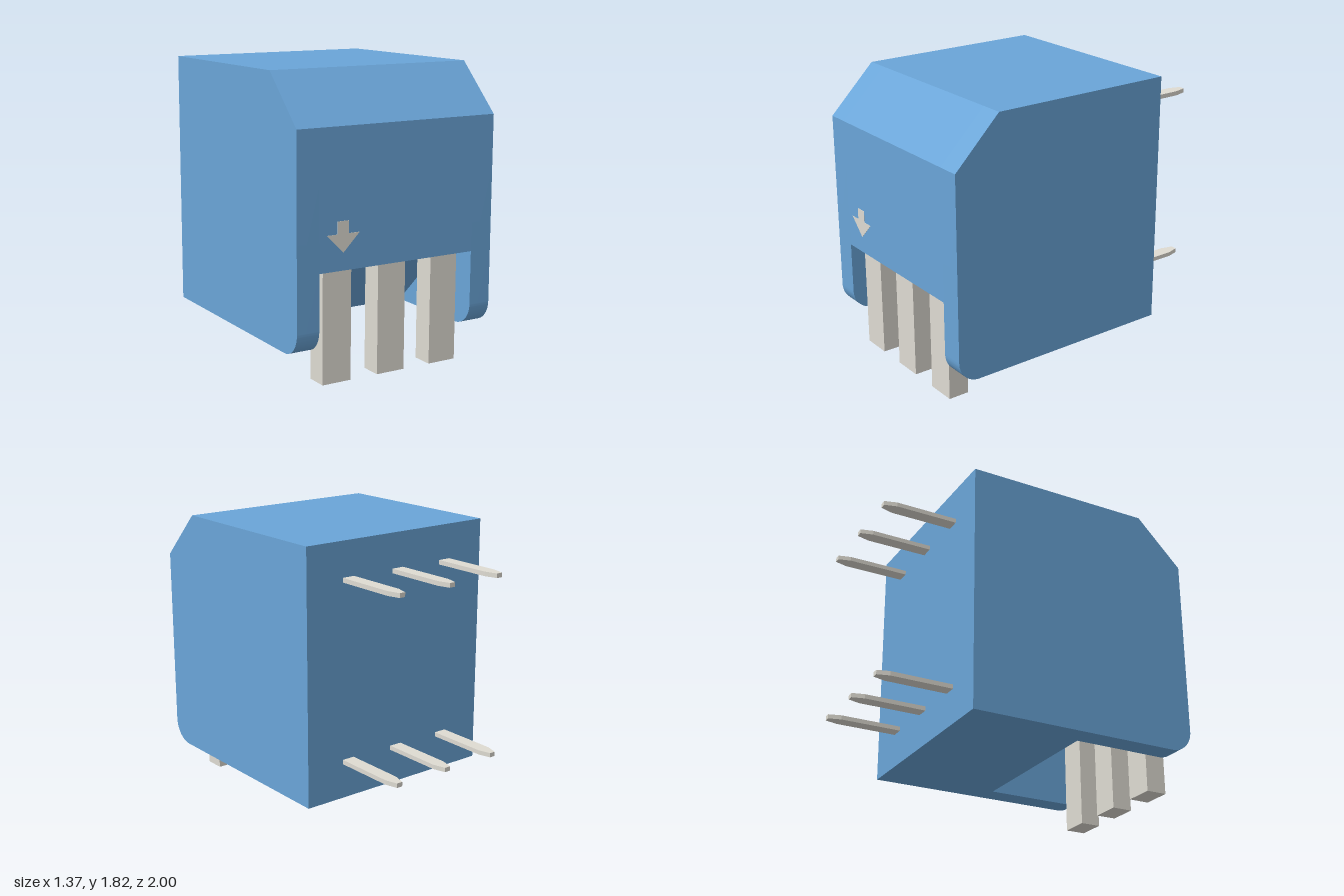
import * as THREE from 'three';
import { toCreasedNormals } from 'three/addons/utils/BufferGeometryUtils.js';

const blue = new THREE.MeshStandardMaterial({ color: 0x6aa5d8 });
const metal = new THREE.MeshStandardMaterial({ color: 0xdedbd2 });

const shapeFrom = (pts) => new THREE.Shape(pts.map(([x, y]) => new THREE.Vector2(x, y)));

function addMesh(parent, name, geometry, material) {
  const mesh = new THREE.Mesh(geometry, material);
  mesh.name = name;
  parent.add(mesh);
  return mesh;
}

// Extrudes a side profile drawn in (z, y) between two x positions
function profileSlab(shape, x0, x1) {
  const geo = new THREE.ExtrudeGeometry(shape, { depth: x1 - x0, bevelEnabled: false, curveSegments: 16 });
  geo.rotateY(-Math.PI / 2).translate(x1, 0, 0);
  return toCreasedNormals(geo, 0.4);
}

export function createModel() {
  const model = new THREE.Group();
  model.name = 'blockConnector';

  // Housing: two full cheeks and a middle notched at the lower front
  const housing = new THREE.Group();
  housing.name = 'housing';
  model.add(housing);
  const halfWidth = 0.685, notchHalf = 0.538;
  const back = -0.52, bottom = 0.21, top = 1.82, radius = 0.145;

  const cheek = new THREE.Shape();
  cheek.moveTo(back, bottom);
  cheek.lineTo(1 - radius, bottom);
  cheek.absarc(1 - radius, bottom + radius, radius, -Math.PI / 2, 0, false);
  cheek.lineTo(1, 1.52);
  cheek.lineTo(0.7, top);
  cheek.lineTo(back, top);
  cheek.closePath();
  addMesh(housing, 'rightCheek', profileSlab(cheek, -halfWidth, -notchHalf), blue);
  addMesh(housing, 'leftCheek', profileSlab(cheek, notchHalf, halfWidth), blue);

  const middle = shapeFrom([
    [back, bottom], [0.26, bottom], [0.74, 0.69], [1, 0.69],
    [1, 1.52], [0.7, top], [back, top],
  ]);
  addMesh(housing, 'notchedMiddle', profileSlab(middle, -notchHalf, notchHalf), blue);

  // Thin direction arrow on the front face
  const arrow = shapeFrom([
    [-0.38, 0.795], [-0.27, 0.905], [-0.344, 0.905], [-0.344, 0.98],
    [-0.418, 0.98], [-0.418, 0.905], [-0.49, 0.905],
  ]);
  const arrowGeo = new THREE.ExtrudeGeometry(arrow, { depth: 0.004, bevelEnabled: false });
  addMesh(model, 'frontArrow', arrowGeo, metal).position.z = 0.998;

  // Flat blade pin with a tapered tip, pointing to the back
  const blade = shapeFrom([
    [-0.042, 0], [0.042, 0], [0.042, 0.4], [0.02, 0.48], [-0.02, 0.48], [-0.042, 0.4],
  ]);
  const bladeGeo = new THREE.ExtrudeGeometry(blade, { depth: 0.028, bevelEnabled: false });
  bladeGeo.rotateX(-Math.PI / 2);

  for (const x of [-0.38, 0, 0.38]) {
    // Square contact hanging out of the notch ceiling
    addMesh(model, 'frontContact', new THREE.BoxGeometry(0.193, 0.7, 0.135), metal)
      .position.set(x, 0.35, 0.868);
    for (const y of [0.433, 1.572]) {
      addMesh(model, 'backPin', bladeGeo, metal).position.set(x, y, back);
    }
  }
  return model;
}
